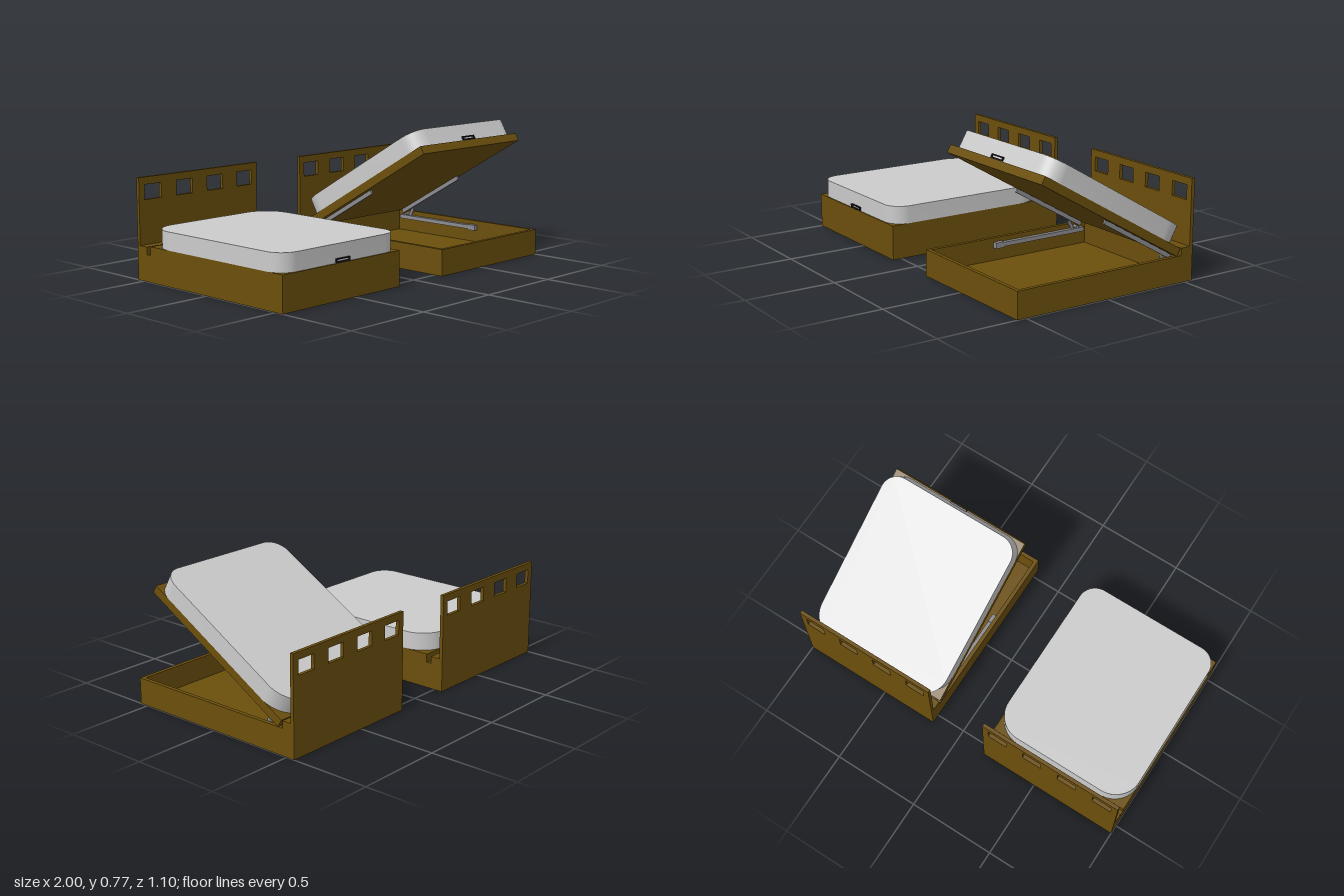
import * as THREE from 'three';
import { toCreasedNormals } from 'three/addons/utils/BufferGeometryUtils.js';

const wood = new THREE.MeshStandardMaterial({ color: 0x6b4f0c });
const fabric = new THREE.MeshStandardMaterial({ color: 0xcccccc });
const steel = new THREE.MeshStandardMaterial({ color: 0x8c8c90 });
const black = new THREE.MeshStandardMaterial({ color: 0x18181c });

const W = 0.83;                        // bed width
const HINGE = { y: 0.145, z: -0.445 }; // lid pivot line
const LID_LEN = 0.995, LID_T = 0.046;

function add(parent, name, geometry, material) {
  const mesh = new THREE.Mesh(geometry, material);
  mesh.name = name;
  parent.add(mesh);
  return mesh;
}

// Box given by its limits on each axis
function box(parent, name, material, [x0, x1], [y0, y1], [z0, z1]) {
  const m = add(parent, name, new THREE.BoxGeometry(x1 - x0, y1 - y0, z1 - z0), material);
  m.position.set((x0 + x1) / 2, (y0 + y1) / 2, (z0 + z1) / 2);
  return m;
}

function rectPath(path, x0, y0, x1, y1) {
  path.moveTo(x0, y0);
  path.lineTo(x1, y0);
  path.lineTo(x1, y1);
  path.lineTo(x0, y1);
  path.closePath();
  return path;
}

// Headboard panel with a row of four windows
function headboard(parent) {
  const shape = rectPath(new THREE.Shape(), -W / 2, 0, W / 2, 0.545);
  for (let i = 0; i < 4; i++) {
    const x = (i - 1.5) * 0.215;
    shape.holes.push(rectPath(new THREE.Path(), x - 0.056, 0.425, x + 0.056, 0.505));
  }
  const geo = new THREE.ExtrudeGeometry(shape, { depth: 0.02, bevelEnabled: false });
  add(parent, 'headboard', geo, wood).position.z = -0.55;
}

// Open storage box with a fixed strip at the head end
function storageBase(parent) {
  const h = W / 2, t = 0.022;
  box(parent, 'storageFloor', wood, [-h, h], [0, 0.02], [-0.53, 0.55]);
  box(parent, 'frontPanel', wood, [-h, h], [0.02, 0.145], [0.55 - t, 0.55]);
  box(parent, 'backPanel', wood, [-h, h], [0.02, 0.145], [-0.53, -0.475]);
  box(parent, 'headStrip', wood, [-h, h], [0.145, 0.185], [-0.53, -0.475]);
  for (const s of [-1, 1]) {
    const xs = [s * h, s * (h - t)].sort((a, b) => a - b);
    box(parent, 'sidePanel', wood, xs, [0.02, 0.145], [-0.475, 0.55 - t]);
    const x = s * (h - 0.034);
    box(parent, 'baseRail', steel, [x - 0.012, x + 0.012], [0.095, 0.118], [-0.45, 0.13]);
    box(parent, 'railFoot', steel, [x - 0.014, x + 0.014], [0.09, 0.122], [0.09, 0.14]);
  }
}

// Mattress with wider corner curves at the head end
function mattress(parent) {
  const x = W / 2, yF = -LID_LEN + 0.007, rF = 0.1, rH = 0.15, k = 0.45;
  const s = new THREE.Shape();
  s.moveTo(-x + rF, yF);
  s.lineTo(x - rF, yF);
  s.bezierCurveTo(x - rF * k, yF, x, yF + rF * k, x, yF + rF);
  s.lineTo(x, -rH);
  s.bezierCurveTo(x, -rH * k, x - rH * k, 0, x - rH, 0);
  s.lineTo(-x + rH, 0);
  s.bezierCurveTo(-x + rH * k, 0, -x, -rH * k, -x, -rH);
  s.lineTo(-x, yF + rF);
  s.bezierCurveTo(-x, yF + rF * k, -x + rF * k, yF, -x + rF, yF);
  const geo = new THREE.ExtrudeGeometry(s, { depth: 0.098, bevelEnabled: false, curveSegments: 12 });
  geo.rotateX(-Math.PI / 2);
  add(parent, 'mattress', toCreasedNormals(geo, 0.6), fabric).position.y = LID_T;
}

// Thin rectangular pull at the foot of the lid
function pullHandle(parent) {
  const s = rectPath(new THREE.Shape(), -0.05, 0, 0.05, 0.022);
  s.holes.push(rectPath(new THREE.Path(), -0.043, 0.006, 0.043, 0.016));
  const geo = new THREE.ExtrudeGeometry(s, { depth: 0.01, bevelEnabled: false });
  add(parent, 'pullHandle', geo, black).position.set(0, LID_T + 0.002, LID_LEN - 0.008);
}

// Hinged platform, with its mattress and lifting arms
function lid(parent, angle) {
  const g = new THREE.Group();
  g.name = 'liftingLid';
  g.position.set(0, HINGE.y, HINGE.z);
  g.rotation.x = -angle;
  box(g, 'platform', wood, [-W / 2, W / 2], [0, LID_T], [0, LID_LEN]);
  mattress(g);
  pullHandle(g);
  for (const s of [-1, 1]) {
    const x = s * (W / 2 - 0.039);
    box(g, 'liftArm', steel, [x - 0.006, x + 0.006], [-0.024, -0.001], [0.01, 0.51]);
  }
  parent.add(g);
}

// Short pivot links between the arms and the base rails
function links(parent) {
  for (const s of [-1, 1]) {
    const x = s * (W / 2 - 0.028);
    const link = box(parent, 'pivotLink', steel, [x - 0.004, x + 0.004], [0.09, 0.165], [-0.385, -0.367]);
    link.rotation.x = 0.5;
    const pin = add(parent, 'pivotPin', new THREE.CylinderGeometry(0.008, 0.008, 0.03, 12), steel);
    pin.rotation.z = Math.PI / 2;
    pin.position.set(s * (W / 2 - 0.037), 0.128, -0.4);
  }
}

function bed(name, x, angle) {
  const g = new THREE.Group();
  g.name = name;
  g.position.x = x;
  headboard(g);
  storageBase(g);
  lid(g, angle);
  if (angle > 0) links(g);
  return g;
}

export function createModel() {
  const model = new THREE.Group();
  model.name = 'storageBeds';
  model.add(bed('closedBed', -0.585, 0), bed('openBed', 0.585, THREE.MathUtils.degToRad(30.2)));
  return model;
}
